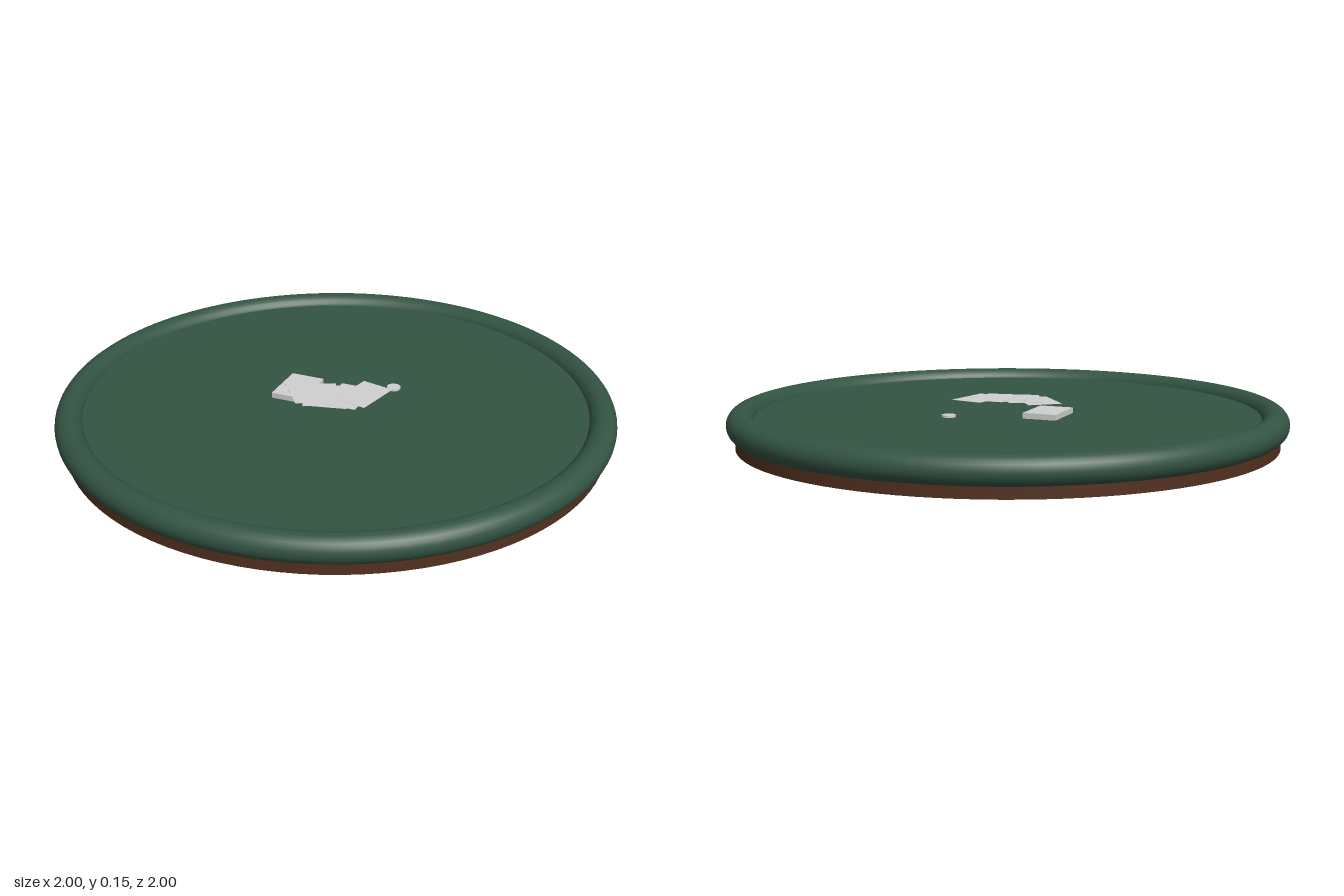
import * as THREE from 'three';

export function createModel() {
  const root = new THREE.Group();
  const mat = (name, color) => {
    const m = new THREE.MeshStandardMaterial({ color });
    m.name = name;
    return m;
  };
  const green = mat('green felt', 0x335443);
  const brown = mat('dark wood', 0x52301f);
  const pale = mat('pale card', 0xd0d0d0);

  const add = (name, geometry, material, x = 0, y = 0, z = 0, turn = 0) => {
    const mesh = new THREE.Mesh(geometry, material);
    mesh.name = name;
    mesh.position.set(x, y, z);
    mesh.rotation.y = turn;
    root.add(mesh);
    return mesh;
  };

  // Table top: wooden base, felt surface and padded rim
  add('woodBase', new THREE.CylinderGeometry(0.97, 0.97, 0.04, 96), brown, 0, 0.02, 0);
  add('feltSurface', new THREE.CylinderGeometry(0.93, 0.93, 0.06, 96), green, 0, 0.07, 0);
  const rim = new THREE.TorusGeometry(0.95, 0.05, 24, 128).rotateX(Math.PI / 2);
  add('paddedRim', rim, green, 0, 0.084, 0);

  // Stacked deck and a small dealer chip lying on the felt
  add('cardDeck', new THREE.BoxGeometry(0.124, 0.02, 0.18), pale, -0.153, 0.11, -0.06, -0.23);
  add('dealerChip', new THREE.CylinderGeometry(0.025, 0.025, 0.008, 24), pale, 0.19, 0.104, -0.14);

  // Fan of five thin cards held just above the felt, rising to the right
  const card = new THREE.BoxGeometry(0.124, 0.0008, 0.18);
  for (let i = -2; i <= 2; i++) {
    add('fanCard', card, pale, i * 0.0525, 0.143 + i * 0.0012, 0.05 - i * i * 0.008, -i * 0.222);
  }
  return root;
}
